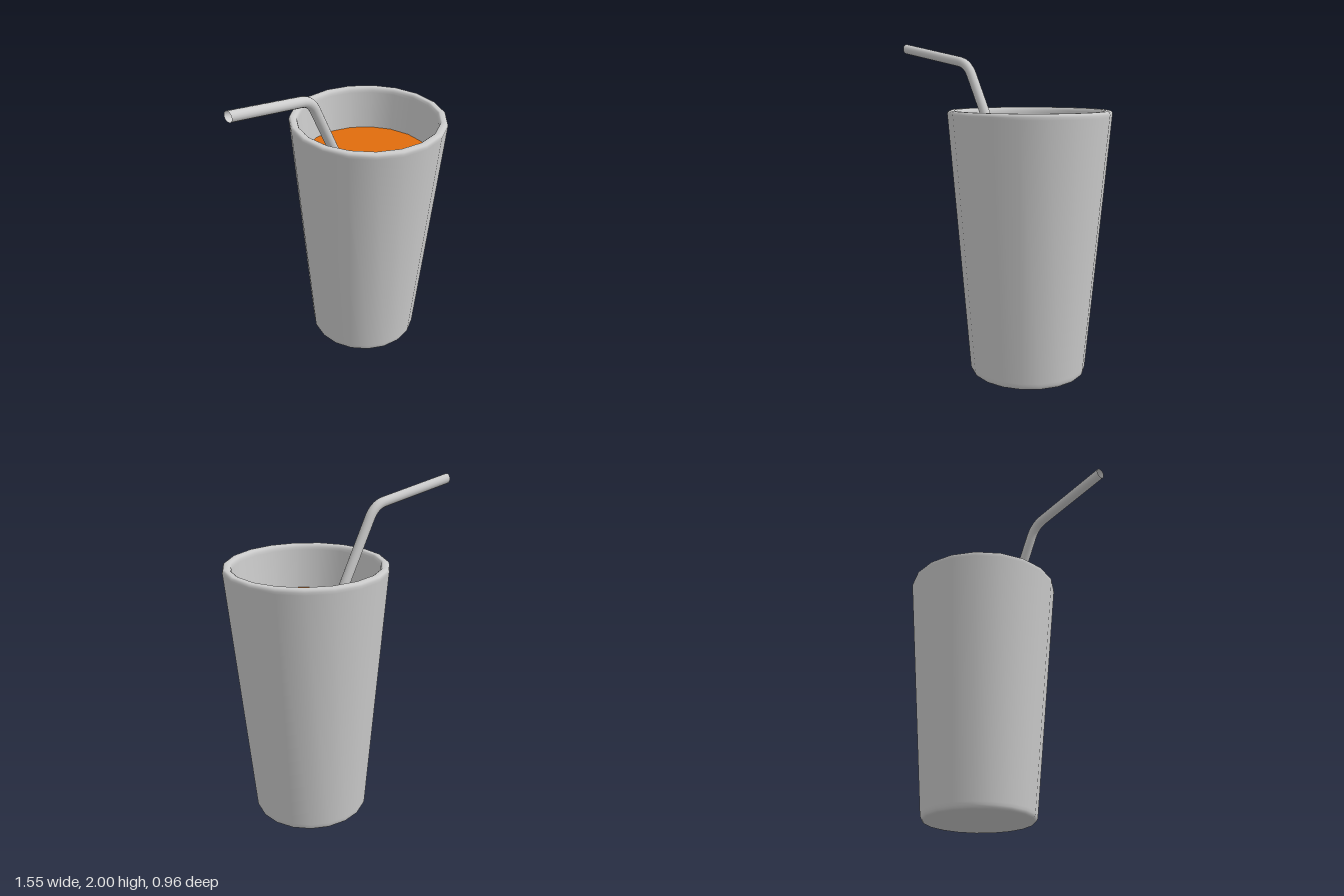
import * as THREE from 'three';

const SIDES = 19;
const CUP_X = 0.29;

// Revolve a profile of [radius, height] pairs, with one corner facing +x
function lathe(points) {
  const profile = points.map(([r, y]) => new THREE.Vector2(r, y));
  return new THREE.LatheGeometry(profile, SIDES, Math.PI / 2);
}

export function createModel() {
  const model = new THREE.Group();
  const cupGrey = new THREE.MeshStandardMaterial({ color: 0xcccccc });
  cupGrey.name = 'light grey';
  const orange = new THREE.MeshStandardMaterial({ color: 0xe06c0c, side: THREE.DoubleSide });
  orange.name = 'orange';
  const strawGrey = new THREE.MeshStandardMaterial({ color: 0xcccccc, side: THREE.DoubleSide });
  strawGrey.name = 'straw grey';

  const add = (name, geometry, material) => {
    const mesh = new THREE.Mesh(geometry, material);
    mesh.name = name;
    model.add(mesh);
    return mesh;
  };

  // Tapered cup: base, outer wall, softened rim, inner wall, floor
  const cup = add('cup', lathe([
    [0, 0], [0.325, 0], [0.338, 0.002], [0.346, 0.009], [0.351, 0.022], [0.353, 0.04],
    [0.482, 1.56], [0.484, 1.575], [0.48, 1.588], [0.47, 1.594],
    [0.447, 1.594], [0.438, 1.588], [0.433, 1.575], [0.431, 1.56],
    [0.306, 0.08], [0.303, 0.06], [0.29, 0.05], [0, 0.05],
  ]), cupGrey);
  cup.position.x = CUP_X;

  // Drink surface
  const drink = add('drink', new THREE.CircleGeometry(0.415, SIDES), orange);
  drink.rotation.x = -Math.PI / 2;
  drink.position.set(CUP_X, 1.32, 0);

  // Bent drinking straw: two straight runs joined by a short curve
  const v = (x, y) => new THREE.Vector3(x, y, 0.01);
  const path = new THREE.CurvePath();
  path.add(new THREE.LineCurve3(v(-0.775, 1.97), v(-0.275, 1.881)));
  path.add(new THREE.QuadraticBezierCurve3(v(-0.275, 1.881), v(-0.204, 1.868), v(-0.17, 1.796)));
  path.add(new THREE.LineCurve3(v(-0.17, 1.796), v(0.47, 0.48)));
  const strawGeometry = new THREE.TubeGeometry(path, 90, 0.031, 16);
  // Trim the mouth to an upright cut
  const p = strawGeometry.attributes.position;
  for (let i = 0; i <= 16; i++) {
    const shift = -0.775 - p.getX(i);
    p.setXY(i, -0.775, p.getY(i) - shift * 0.178);
  }
  add('straw', strawGeometry, strawGrey);

  return model;
}
